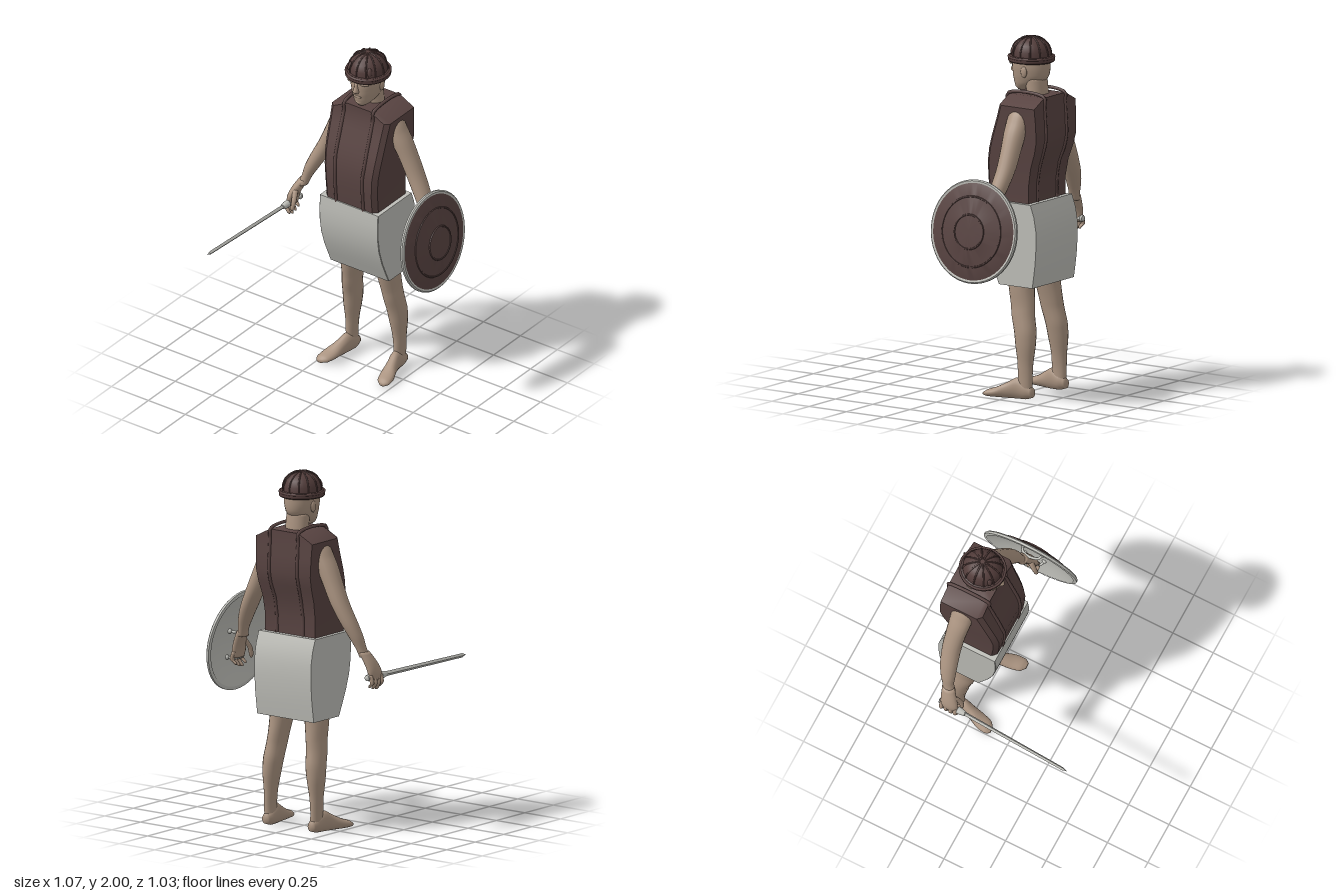
import * as THREE from 'three';
import { toCreasedNormals } from 'three/addons/utils/BufferGeometryUtils.js';

const MID = -0.0085; // the body's own centre line
const mat = (name, color) => {
  const m = new THREE.MeshStandardMaterial({ color });
  m.name = name;
  return m;
};
const skin = mat('skin', 0xab9481);
const leather = mat('dark brown leather', 0x594442);
const helmetBrown = mat('helmet brown', 0x533d3b);
const grey = mat('light grey', 0xbfbfb9);

function add(parent, name, geometry, material, x = 0, y = 0, z = 0) {
  const mesh = new THREE.Mesh(geometry, material);
  mesh.name = name;
  mesh.position.set(x, y, z);
  parent.add(mesh);
  return mesh;
}

// Skins a row of rings and closes both ends
function loft(rings) {
  const n = rings[0].length, pos = [], idx = [];
  rings.forEach(r => r.forEach(p => pos.push(p.x, p.y, p.z)));
  for (let i = 0; i < rings.length - 1; i++) {
    for (let j = 0; j < n; j++) {
      const a = i * n + j, b = i * n + (j + 1) % n;
      idx.push(a, a + n, b, b, a + n, b + n);
    }
  }
  [0, rings.length - 1].forEach((i, end) => {
    const c = rings[i].reduce((s, p) => s.add(p), new THREE.Vector3()).divideScalar(n);
    const k = pos.length / 3;
    pos.push(c.x, c.y, c.z);
    for (let j = 0; j < n; j++) {
      const a = i * n + j, b = i * n + (j + 1) % n;
      if (end) idx.push(k, b, a); else idx.push(k, a, b);
    }
  });
  const g = new THREE.BufferGeometry();
  g.setAttribute('position', new THREE.Float32BufferAttribute(pos, 3));
  g.setIndex(idx);
  g.computeVertexNormals();
  return g;
}

// Smooth limb through sections [x, y, z, radiusX, radius2]; lying limbs run from front to back
function limb(secs, side = 1, lying = false, n = 18) {
  const centre = new THREE.CatmullRomCurve3(secs.map(s => new THREE.Vector3(MID + side * s[0], s[1], s[2])));
  const radius = new THREE.CatmullRomCurve3(secs.map(s => new THREE.Vector3(s[3], s[4], 0)));
  const steps = (secs.length - 1) * 4, rings = [];
  for (let i = 0; i <= steps; i++) {
    const c = centre.getPoint(i / steps), r = radius.getPoint(i / steps), ring = [];
    for (let j = 0; j < n; j++) {
      const a = j / n * Math.PI * 2, u = r.x * Math.cos(a), v = r.y * Math.sin(a);
      ring.push(new THREE.Vector3(c.x + u, c.y + (lying ? v : 0), c.z + (lying ? 0 : v)));
    }
    rings.push(ring);
  }
  return loft(rings);
}

// Boxy garment from sections [y, halfWidth, zFront, zBack] with cut front corners
function garment(secs, cut) {
  return toCreasedNormals(loft(secs.map(([y, w, f, b]) => [
    [w, f - cut], [w - cut, f], [cut - w, f], [-w, f - cut], [-w, b], [w, b],
  ].map(([x, z]) => new THREE.Vector3(MID + x, y, z)))), 0.5);
}

const lathe = (pts, n = 40) =>
  toCreasedNormals(new THREE.LatheGeometry(pts.map(p => new THREE.Vector2(...p)), n), 0.5);
const tube = (pts, r, steps = 32) =>
  new THREE.TubeGeometry(new THREE.CatmullRomCurve3(pts.map(p => new THREE.Vector3(...p)), false, 'centripetal'), steps, r, 8);

function makeHead(root) {
  const head = new THREE.Group();
  head.name = 'head';
  add(head, 'neck', limb([[0, 1.6, -.325, .075, .06], [0, 1.69, -.322, .07, .057], [0, 1.78, -.31, .068, .06]]), skin);
  add(head, 'skull', limb([
    [0, 1.697, -.222, .026, .026], [0, 1.712, -.235, .046, .05], [0, 1.74, -.262, .066, .085],
    [0, 1.78, -.277, .08, .107], [0, 1.83, -.28, .089, .113], [0, 1.88, -.28, .09, .113], [0, 1.93, -.28, .075, .09],
  ], 1, false, 28), skin);
  add(head, 'nose', limb([[0, 1.786, -.172, .012, .012], [0, 1.8, -.167, .017, .022], [0, 1.825, -.169, .011, .015], [0, 1.85, -.17, .009, .008]]), skin);
  const blob = (name, x, y, z, a, b, c) =>
    add(head, name, new THREE.SphereGeometry(1, 14, 10), skin, MID + x, y, z).scale.set(a, b, c);
  blob('lips', 0, 1.762, -.18, .027, .01, .011);
  blob('chin', 0, 1.722, -.198, .026, .018, .018);
  for (const s of [-1, 1]) {
    blob('brow', s * .036, 1.848, -.185, .034, .009, .016);
    blob('ear', s * .087, 1.81, -.29, .01, .032, .02);
  }
  root.add(head);
}

function makeHelmet(root) {
  const helmet = new THREE.Group();
  helmet.name = 'helmet';
  helmet.position.set(MID, 0, -.28);
  helmet.scale.z = 1.05;
  const dome = [[.106, 1.893], [.104, 1.92], [.09, 1.955], [.062, 1.981], [.03, 1.994], [0, 1.996]];
  add(helmet, 'dome', lathe([[0, 1.866], [.12, 1.86], [.125, 1.866], [.125, 1.884], [.112, 1.892], ...dome]), helmetBrown);
  add(helmet, 'brimRoll', new THREE.TorusGeometry(.12, .007, 8, 40).rotateX(Math.PI / 2), helmetBrown, 0, 1.886, 0);
  add(helmet, 'topKnob', new THREE.CylinderGeometry(.012, .018, .012, 16), helmetBrown, 0, 1.994, 0);
  for (let i = 0; i < 12; i++) {
    const rib = add(helmet, 'rib', tube(dome.map(([r, y]) => [0, y, r]), .0045, 16), helmetBrown);
    rib.rotation.y = i * Math.PI / 6;
  }
  for (const s of [-1, 1]) { // raised drops on the brow
    const drop = add(helmet, 'browDrop', new THREE.SphereGeometry(1, 12, 8), helmetBrown, s * .068, 1.925, .076);
    drop.scale.set(.014, .026, .008);
    drop.rotation.set(-.3, s * .73, 0, 'YXZ');
  }
  root.add(helmet);
}

function makeSide(root, s) {
  const name = s > 0 ? 'left' : 'right';
  add(root, name + 'Leg', limb([
    [.16, .04, -.355, .03, .042], [.162, .12, -.353, .029, .045], [.16, .2, -.353, .034, .047],
    [.155, .3, -.35, .047, .06], [.148, .38, -.343, .053, .066], [.14, .46, -.325, .052, .07],
    [.132, .52, -.317, .053, .072], [.122, .62, -.302, .062, .077], [.105, .8, -.29, .07, .085],
  ], s), skin);
  add(root, name + 'Foot', limb([
    [.212, .017, -.115, .018, .01], [.205, .022, -.14, .04, .02], [.195, .03, -.19, .045, .029],
    [.178, .045, -.25, .036, .045], [.165, .06, -.31, .033, .06], [.16, .05, -.36, .034, .049], [.16, .04, -.403, .022, .026],
  ], s, true), skin);
  add(root, name + 'Arm', limb([
    [.428, 1.01, -.262, .028, .036], [.415, 1.05, -.275, .028, .033], [.388, 1.12, -.29, .04, .042],
    [.348, 1.2, -.305, .049, .05], [.295, 1.3, -.316, .054, .054], [.248, 1.4, -.316, .057, .057],
    [.2, 1.5, -.312, .06, .063], [.16, 1.58, -.31, .055, .063], [.15, 1.635, -.31, .028, .035],
  ], s), skin);
  const hand = new THREE.Group();
  hand.name = name + 'Hand';
  add(hand, 'palm', limb([
    [.478, .88, -.237, .018, .044], [.475, .93, -.238, .026, .052], [.457, .98, -.25, .029, .046], [.425, 1.04, -.27, .028, .035],
  ], s), skin);
  for (let i = 0; i < 4; i++) {
    const z = -.195 - i * .028, tip = .822 + Math.abs(i - 1.3) * .012;
    add(hand, 'finger', limb([[.468, tip, z + .006, .006, .006], [.476, tip + .012, z + .005, .011, .011],
      [.491, .868, z, .012, .012], [.478, .915, z, .013, .014]], s, false, 10), skin);
  }
  add(hand, 'thumb', limb([[.44, .872, -.175, .006, .006], [.438, .888, -.178, .012, .012],
    [.437, .93, -.19, .014, .014], [.452, .985, -.225, .016, .018]], s, false, 10), skin);
  root.add(hand);
}

function makeClothes(root) {
  const vest = [[1.09, .175, -.11, -.385], [1.2, .176, -.1, -.385], [1.3, .18, -.097, -.402],
    [1.38, .186, -.11, -.43], [1.45, .19, -.13, -.446], [1.55, .193, -.163, -.443], [1.635, .197, -.19, -.437], [1.685, .1, -.19, -.437]];
  add(root, 'vest', garment(vest, .025), leather);
  for (const s of [-1, 1]) { // cords run up the front, over the shoulder and down the back
    const x = w => MID + s * (w > .18 || w < .11 ? .098 : .092);
    const path = [...vest.map(([y, w, f]) => [x(w), y, f]), ...vest.map(([y, w, , b]) => [x(w), y, b]).reverse()];
    add(root, 'vestCord', tube(path, .0095, 64), leather);
  }
  add(root, 'skirt', garment([[.633, .198, -.2, -.425], [.7, .198, -.17, -.435], [.77, .198, -.14, -.444], [.86, .198, -.111, -.45],
    [.95, .198, -.097, -.45], [1.03, .198, -.096, -.436], [1.098, .198, -.102, -.412]], .003), grey);
}

function makeShield(root) {
  const shield = new THREE.Group();
  shield.name = 'shield';
  shield.position.set(.461, .975, -.23);
  shield.rotation.z = -(Math.PI / 2 - .14);
  add(shield, 'shieldFace', lathe([[.272, .01], [.2, .032], [.198, .037], [.192, .037], [.19, .034],
    [.1, .054], [.098, .06], [.092, .06], [.09, .057], [0, .064]], 48), leather);
  add(shield, 'shieldRim', lathe([[.266, -.006], [.286, -.004], [.287, .008], [.28, .015], [.268, .013]], 48), grey);
  add(shield, 'shieldBack', lathe([[0, .046], [.1, .04], [.19, .022], [.27, -.004]], 48), grey);
  // grip loops behind the shield
  for (const x of [-.05, .1]) {
    add(shield, 'shieldGrip', tube([[x, .04, -.06], [x, .01, -.05], [x, -.005, 0], [x, .01, .05], [x, .04, .06]], .008), grey);
    for (const z of [-.06, .06]) add(shield, 'shieldStud', new THREE.SphereGeometry(.014, 10, 8), grey, x, .036, z);
  }
  root.add(shield);
}

function makeSword(root) {
  const sword = new THREE.Group();
  sword.name = 'sword';
  sword.position.set(-.483, .9, -.2);
  sword.rotation.y = -.058;
  const blade = [[.712, .001, .001], [.685, .009, .012], [.05, .011, .014]].map(([z, w, h]) =>
    [[w, 0], [0, h], [-w, 0], [0, -h]].map(([x, y]) => new THREE.Vector3(x, y, z)));
  add(sword, 'blade', toCreasedNormals(loft(blade), .3), grey);
  add(sword, 'hilt', lathe([[0, -.105], [.016, -.098], [.019, -.085], [.012, -.072], [.011, .005],
    [.02, .015], [.02, .035], [.013, .062], [0, .07]], 20).rotateX(Math.PI / 2), grey);
  root.add(sword);
}

export function createModel() {
  const root = new THREE.Group();
  root.name = 'warrior';
  makeHead(root);
  makeHelmet(root);
  for (const s of [-1, 1]) makeSide(root, s);
  makeClothes(root);
  makeShield(root);
  makeSword(root);
  return root;
}
